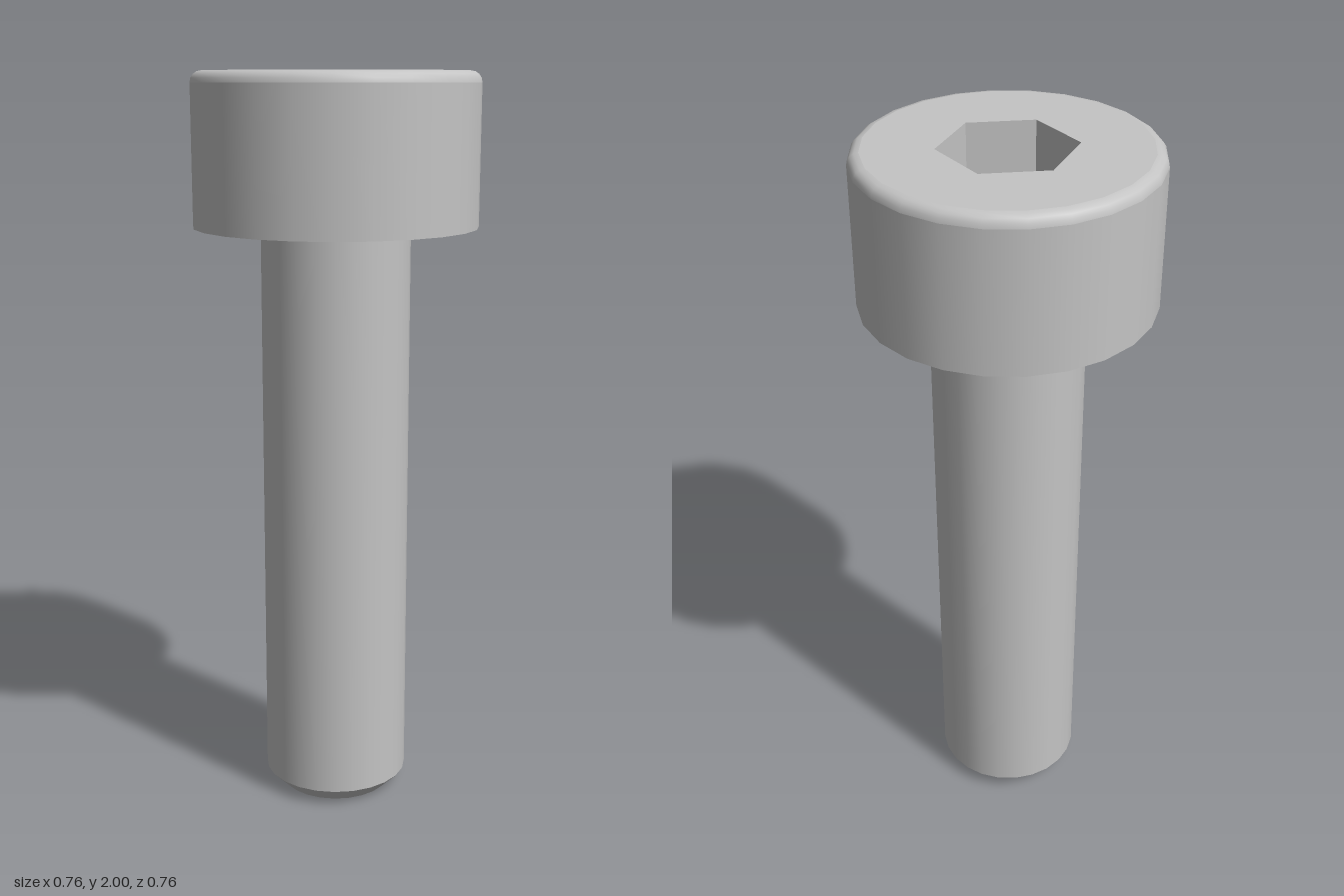
import * as THREE from 'three';

const SIDES = 24;
const HEAD_R = 0.38, HEAD_BASE = 1.6, TOP = 2, FILLET = 0.03;
const SHAFT_R = 0.2, CHAMFER = 0.045;
const HEX_R = 0.1732, SOCKET_FLOOR = 1.8, SOCKET_TIP = 1.71;

const steel = new THREE.MeshStandardMaterial({ color: 0xc4c4c4 });
steel.name = 'steel';

// Revolved strip; profiles run bottom to top for outward faces, top to bottom for inward ones
function strip(name, profile, sides = SIDES, flat = false) {
  let geometry = new THREE.LatheGeometry(profile.map(([r, y]) => new THREE.Vector2(r, y)), sides);
  if (flat) {
    geometry = geometry.toNonIndexed();
    geometry.computeVertexNormals();
  }
  const mesh = new THREE.Mesh(geometry, steel);
  mesh.name = name;
  return mesh;
}

function ring(radius, sides, start = 0) {
  return Array.from({ length: sides }, (_, i) => {
    const a = start + (i / sides) * Math.PI * 2;
    return new THREE.Vector2(radius * Math.cos(a), radius * Math.sin(a));
  });
}

export function createModel() {
  const model = new THREE.Group();
  model.name = 'socketHeadBolt';

  // Shaft with a chamfered end
  const shaft = new THREE.Group();
  shaft.name = 'shaft';
  shaft.add(
    strip('shaftEnd', [[0, 0], [SHAFT_R - CHAMFER, 0]]),
    strip('shaftChamfer', [[SHAFT_R - CHAMFER, 0], [SHAFT_R, CHAMFER]]),
    strip('shaftSide', [[SHAFT_R, CHAMFER], [SHAFT_R, HEAD_BASE]])
  );

  // Head with a rounded upper rim
  const fillet = [];
  for (let i = 0; i <= 4; i++) {
    const a = (i / 4) * Math.PI / 2;
    fillet.push([HEAD_R - FILLET + FILLET * Math.cos(a), TOP - FILLET + FILLET * Math.sin(a)]);
  }
  const head = new THREE.Group();
  head.name = 'head';
  head.add(
    strip('headUnderside', [[SHAFT_R, HEAD_BASE], [HEAD_R, HEAD_BASE]]),
    strip('headSide', [[HEAD_R, HEAD_BASE], [HEAD_R, TOP - FILLET]]),
    strip('headRim', fillet)
  );

  // Flat top pierced by the hexagon
  const face = new THREE.Shape(ring(HEAD_R - FILLET, SIDES));
  face.holes.push(new THREE.Path(ring(HEX_R, 6, Math.PI / 6)));
  const topFace = new THREE.Mesh(new THREE.ShapeGeometry(face).rotateX(-Math.PI / 2), steel);
  topFace.name = 'headTop';
  topFace.position.y = TOP;
  head.add(topFace);

  // Hexagonal socket with a conical floor
  const socket = new THREE.Group();
  socket.name = 'hexSocket';
  socket.add(
    strip('socketWalls', [[HEX_R, TOP], [HEX_R, SOCKET_FLOOR]], 6, true),
    strip('socketFloor', [[HEX_R, SOCKET_FLOOR], [0, SOCKET_TIP]], 6)
  );

  model.add(shaft, head, socket);
  return model;
}
